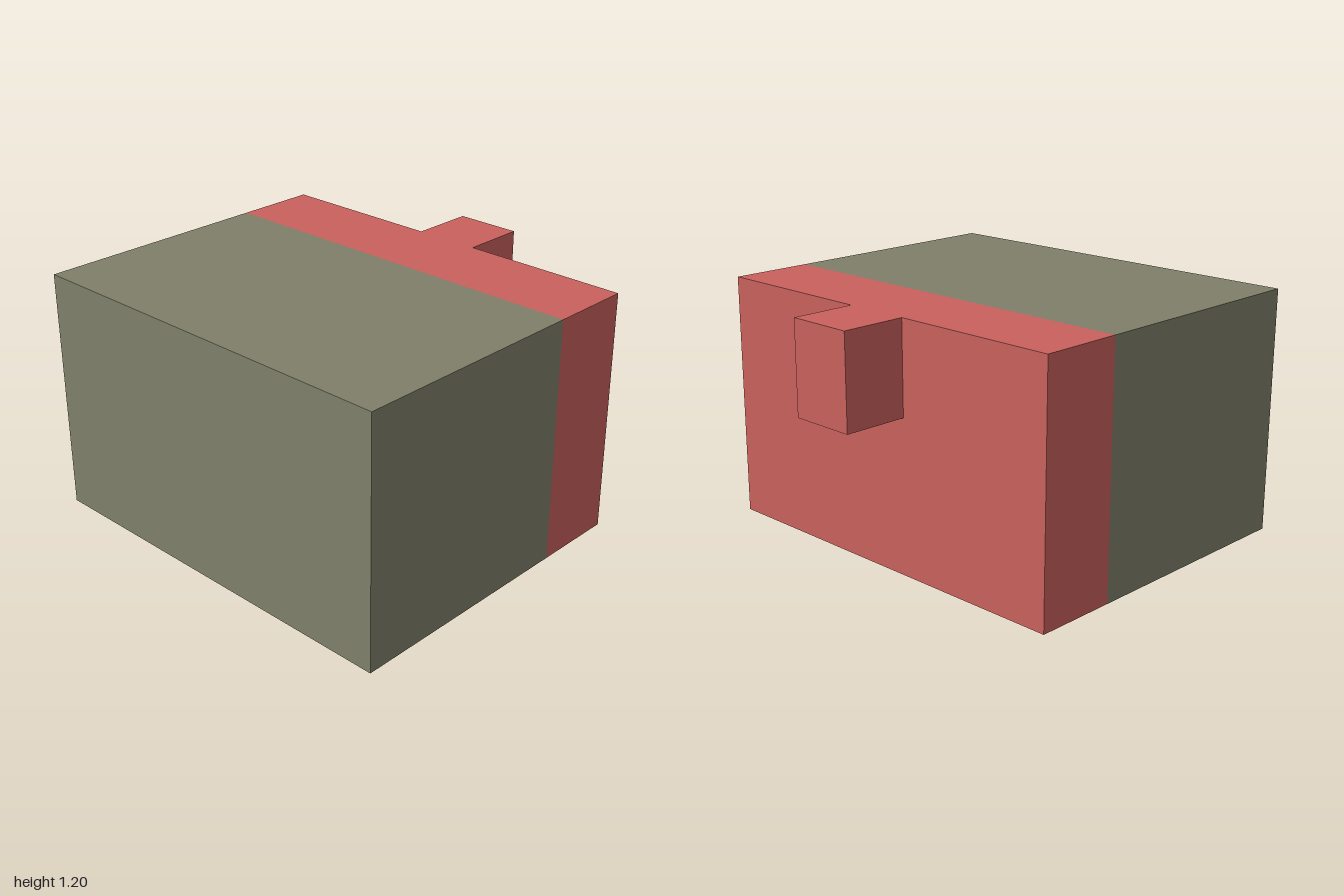
import * as THREE from 'three';

const olive = new THREE.MeshStandardMaterial({ color: 0x7f7f6a });
olive.name = 'olive grey';
const red = new THREE.MeshStandardMaterial({ color: 0xc9615c });
red.name = 'soft red';

// Box given by its lower and upper corners
function block(name, material, [x0, y0, z0], [x1, y1, z1]) {
  const geometry = new THREE.BoxGeometry(x1 - x0, y1 - y0, z1 - z0);
  geometry.translate((x0 + x1) / 2, (y0 + y1) / 2, (z0 + z1) / 2);
  const mesh = new THREE.Mesh(geometry, material);
  mesh.name = name;
  return mesh;
}

export function createModel() {
  const group = new THREE.Group();
  group.name = 'chest';
  group.add(
    // Main body
    block('body', olive, [-0.96, 0, -1], [0.23, 1.2, 1]),
    // Front slab closing the body
    block('frontSlab', red, [0.23, 0, -1], [0.64, 1.2, 1]),
    // Latch projecting at the top edge of the slab
    block('latch', red, [0.64, 0.75, -0.165], [0.96, 1.2, 0.165])
  );
  return group;
}
